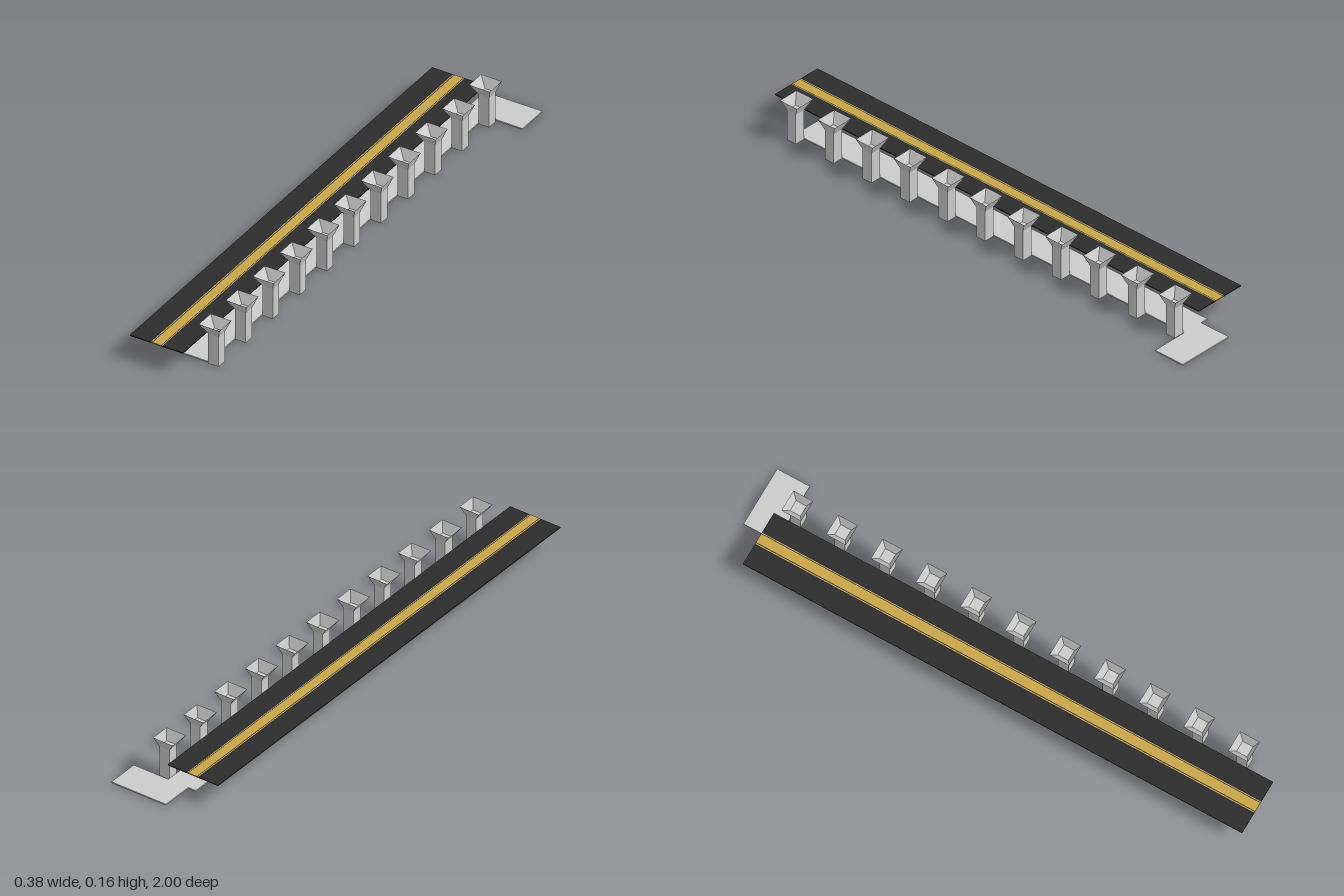
import * as THREE from 'three';

const concrete = new THREE.MeshStandardMaterial({ color: 0xcccccc, side: THREE.DoubleSide });
concrete.name = 'pale concrete';
const asphalt = new THREE.MeshStandardMaterial({ color: 0x2d2d2d });
asphalt.name = 'dark paving';
const gold = new THREE.MeshStandardMaterial({ color: 0xc8a548 });
gold.name = 'gold stripe';

// Box given by its limits on each axis
function slab(name, material, [x0, x1], [y0, y1], [z0, z1]) {
  const geometry = new THREE.BoxGeometry(x1 - x0, y1 - y0, z1 - z0);
  const mesh = new THREE.Mesh(geometry, material);
  mesh.position.set((x0 + x1) / 2, (y0 + y1) / 2, (z0 + z1) / 2);
  mesh.name = name;
  return mesh;
}

// Open flared head: four sloping walls between two rectangles
function flareGeometry(bottom, top) {
  const ring = ({ x, y, z }) => [
    [x[0], y, z], [x[1], y, z], [x[1], y, -z], [x[0], y, -z],
  ];
  const a = ring(bottom), b = ring(top), points = [];
  for (let i = 0; i < 4; i++) {
    const j = (i + 1) % 4;
    points.push(...a[i], ...a[j], ...b[j], ...a[i], ...b[j], ...b[i]);
  }
  const geometry = new THREE.BufferGeometry();
  geometry.setAttribute('position', new THREE.Float32BufferAttribute(points, 3));
  geometry.computeVertexNormals();
  return geometry;
}

export function createModel() {
  const model = new THREE.Group();
  model.name = 'walkway';

  // Raised deck, laid as dark and gold strips side by side
  const edges = [-0.19, -0.108, -0.1045, -0.1015, -0.068, -0.0655, -0.0625, 0.018];
  const deck = new THREE.Group();
  deck.name = 'deck';
  for (let i = 0; i < edges.length - 1; i++) {
    const isGold = i % 2 === 1;
    deck.add(slab(isGold ? 'deckStripe' : 'deckPaving', isGold ? gold : asphalt,
      [edges[i], edges[i + 1]], [0.093, 0.097], [-0.915, 1]));
  }
  model.add(deck);

  // Ground slabs
  model.add(slab('groundStrip', concrete, [-0.068, 0.045], [0, 0.005], [-0.875, 0.88]));
  model.add(slab('endSlab', concrete, [-0.037, 0.188], [0, 0.005], [-1, -0.875]));

  // Row of columns with flared heads
  const flare = flareGeometry(
    { x: [0.045, 0.086], y: 0.118, z: 0.02 },
    { x: [0.019, 0.1], y: 0.156, z: 0.038 },
  );
  for (let i = 0; i < 11; i++) {
    const column = new THREE.Group();
    column.name = 'column';
    column.position.z = 0.864 - i * 0.1713;
    column.add(slab('columnShaft', concrete, [0.045, 0.086], [0, 0.118], [-0.02, 0.02]));
    const head = new THREE.Mesh(flare, concrete);
    head.name = 'columnHead';
    column.add(head);
    model.add(column);
  }
  return model;
}
